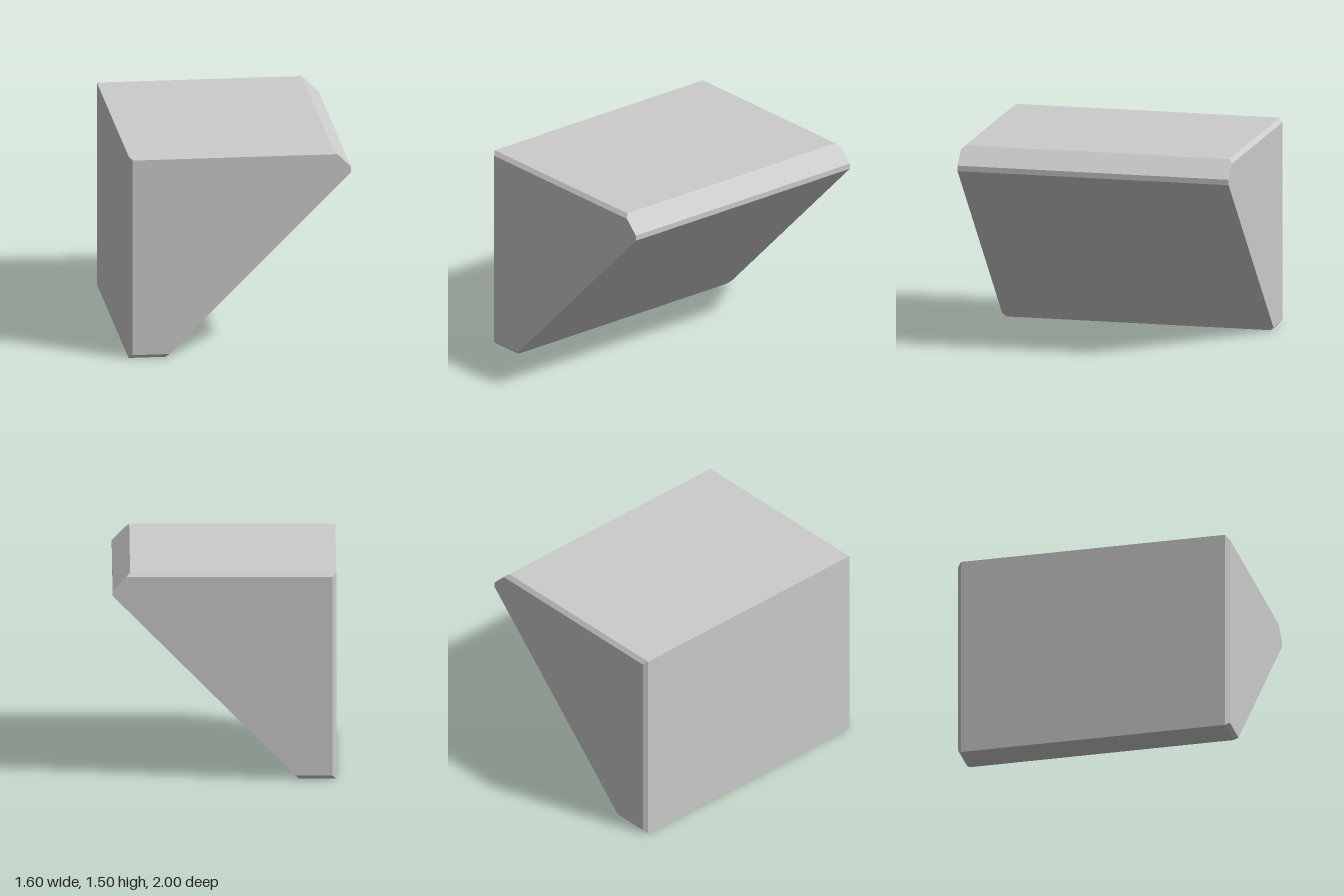
import * as THREE from 'three';

const BEVEL = 0.027;

// Side profile, counter-clockwise seen from +z
const profile = [
  [-0.8, 0], [-0.535, 0], [0.8, 1.335], [0.8, 1.375], [0.675, 1.5], [-0.8, 1.5],
];
// Same profile at the end faces: only back, top and bottom edges are bevelled
const b = BEVEL;
const endProfile = [
  [-0.8 + b, b], [-0.535 + b, b], [0.8, 1.335], [0.8, 1.375], [0.675 + b, 1.5 - b], [-0.8 + b, 1.5 - b],
];

function loftGeometry(rings) {
  const n = rings[0].length;
  const positions = [];
  const tri = (p, q, r) => positions.push(...p, ...q, ...r);
  // Side walls between neighbouring rings
  for (let k = 0; k < rings.length - 1; k++) {
    for (let i = 0; i < n; i++) {
      const j = (i + 1) % n;
      const [lo, hi] = [rings[k], rings[k + 1]];
      tri(lo[i], lo[j], hi[j]);
      tri(lo[i], hi[j], hi[i]);
    }
  }
  // End faces as fans
  const back = rings[0], front = rings[rings.length - 1];
  for (let i = 1; i < n - 1; i++) {
    tri(back[0], back[i + 1], back[i]);
    tri(front[0], front[i], front[i + 1]);
  }
  const geometry = new THREE.BufferGeometry();
  geometry.setAttribute('position', new THREE.Float32BufferAttribute(positions, 3));
  geometry.computeVertexNormals();
  return geometry;
}

export function createModel() {
  const ring = (points, z) => points.map(([x, y]) => [x, y, z]);
  const geometry = loftGeometry([
    ring(endProfile, -1),
    ring(profile, -1 + BEVEL),
    ring(profile, 1 - BEVEL),
    ring(endProfile, 1),
  ]);
  const material = new THREE.MeshStandardMaterial({ color: 0xcccccc, flatShading: true });

  // Wedge block with a sloped underside
  const wedge = new THREE.Mesh(geometry, material);
  wedge.name = 'wedgeBlock';

  const group = new THREE.Group();
  group.name = 'slopedWedge';
  group.add(wedge);
  return group;
}
